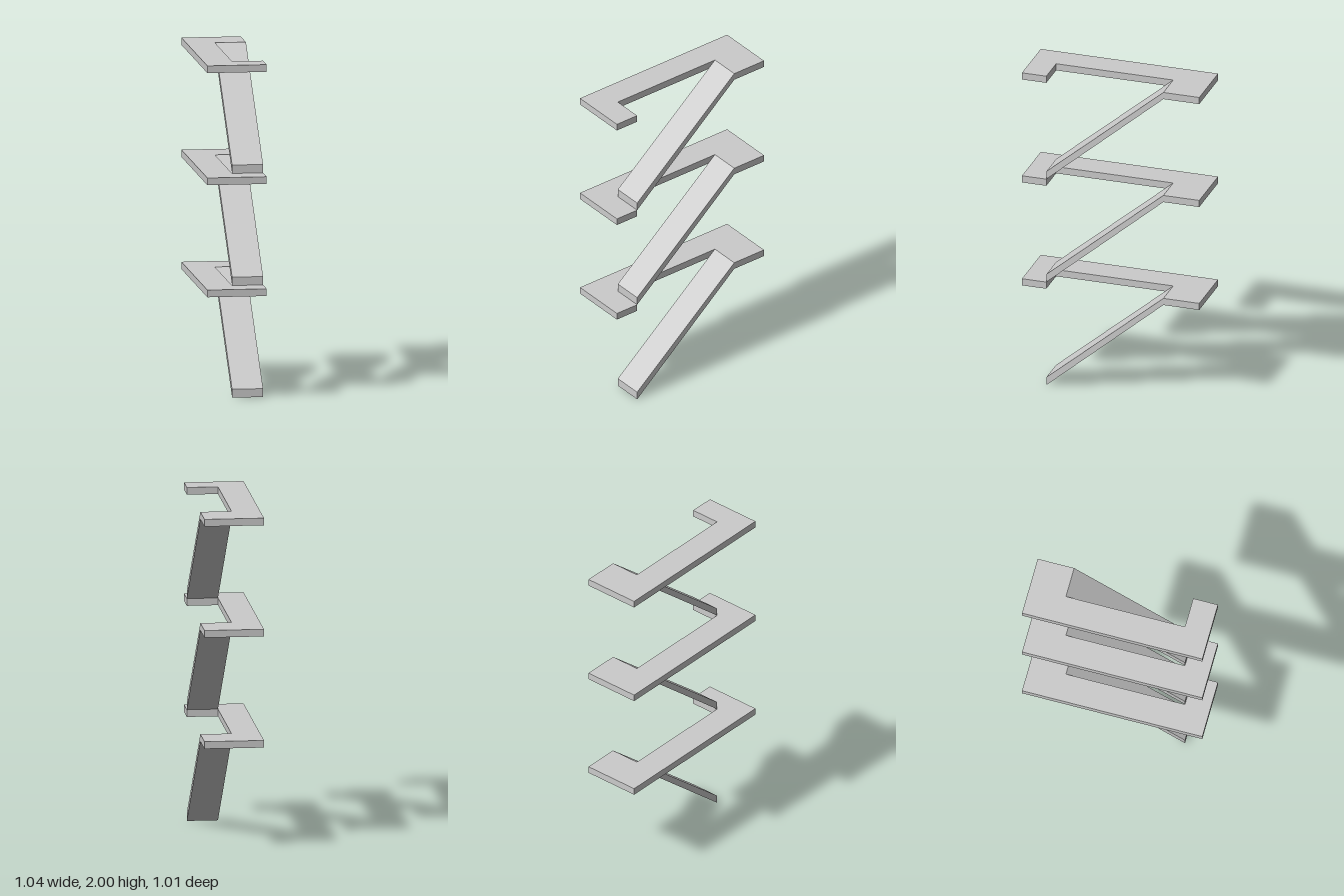
import * as THREE from 'three';

const STOREY = 2 / 3;
const SLAB = 0.043;          // slab thickness
const HALF_L = 0.549, HALF_W = 0.176;
const U0 = -0.327, U1 = 0.398; // ends of the ramp opening
const INNER = 0.008;           // inner side of the ramp opening

const material = new THREE.MeshStandardMaterial({ color: 0xcccccc, flatShading: true });

function prism(points, depth) {
  const shape = new THREE.Shape(points.map(([x, y]) => new THREE.Vector2(x, y)));
  return new THREE.ExtrudeGeometry(shape, { depth, bevelEnabled: false });
}

export function createModel() {
  const model = new THREE.Group();
  model.name = 'rampTower';

  // C-shaped floor slab, open on one long side; its top lies at y = 0
  const slabGeometry = prism([
    [-HALF_L, -HALF_W], [U0, -HALF_W], [U0, INNER], [U1, INNER],
    [U1, -HALF_W], [HALF_L, -HALF_W], [HALF_L, HALF_W], [-HALF_L, HALF_W],
  ], SLAB).rotateX(Math.PI / 2);

  // Sloping ramp with upright ends, rising to the slab above
  const rampGeometry = prism([
    [U1, 0], [U1, 0.05], [U0, STOREY], [U0, STOREY - SLAB],
  ], INNER + HALF_W).translate(0, 0, -HALF_W);

  // Three identical storeys
  for (let i = 0; i < 3; i++) {
    const storey = new THREE.Group();
    storey.name = `storey${i + 1}`;
    storey.position.y = i * STOREY;

    const ramp = new THREE.Mesh(rampGeometry, material);
    ramp.name = 'ramp';
    const slab = new THREE.Mesh(slabGeometry, material);
    slab.name = 'floorSlab';
    slab.position.y = STOREY;

    storey.add(ramp, slab);
    model.add(storey);
  }

  model.rotation.y = -0.75;
  return model;
}
